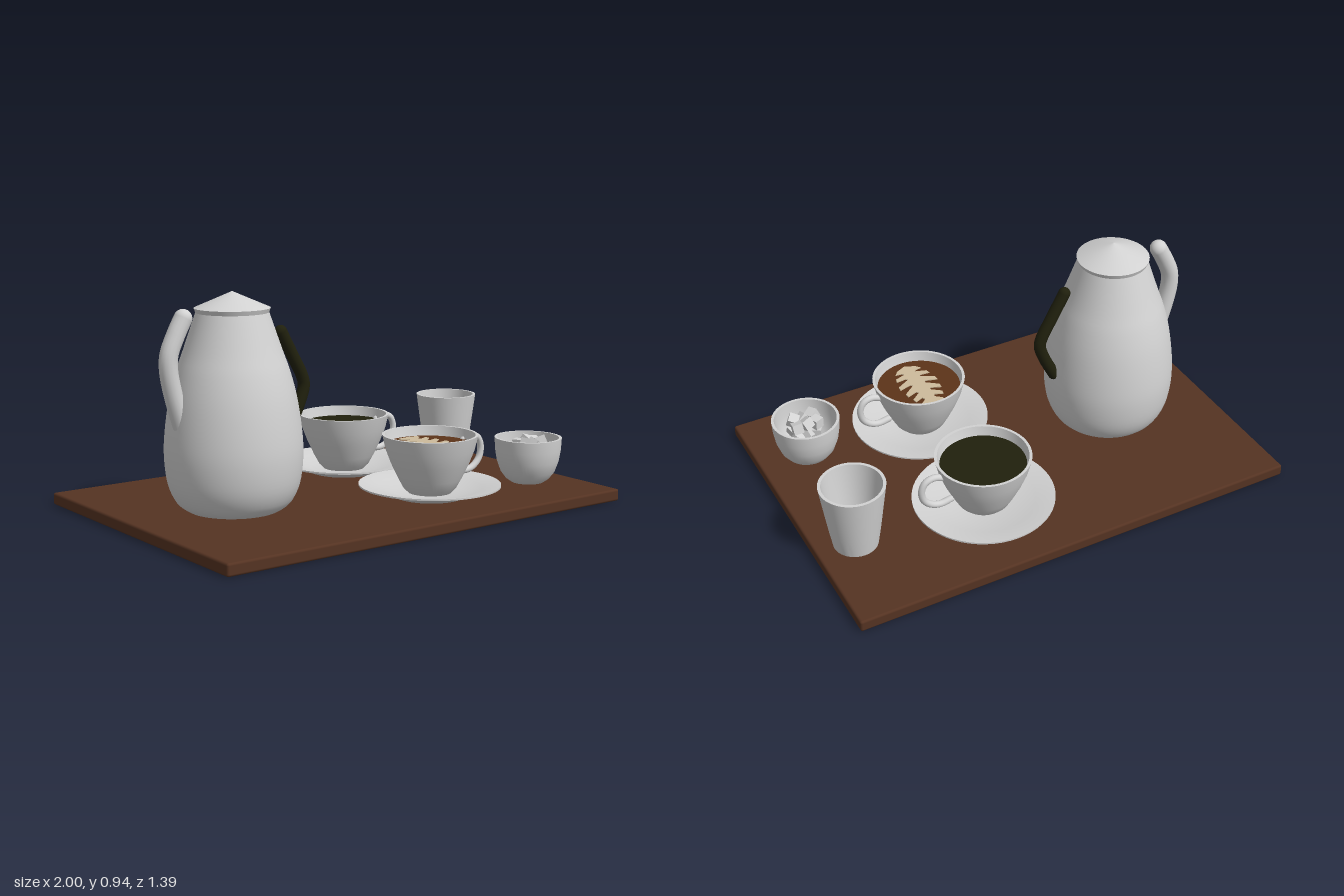
import * as THREE from 'three';
import { toCreasedNormals } from 'three/addons/utils/BufferGeometryUtils.js';
import { RoundedBoxGeometry } from 'three/addons/geometries/RoundedBoxGeometry.js';

const material = (name, color) => {
  const m = new THREE.MeshStandardMaterial({ color });
  m.name = name;
  return m;
};

export function createModel() {
  const model = new THREE.Group();
  model.name = 'coffeeTray';
  const porcelain = material('porcelain', 0xd2d2d2);
  const wood = material('wood', 0x553322);
  const dark = material('darkCoffee', 0x20200d);
  const latte = material('latte', 0x5c3319);
  const cream = material('cream', 0xcdbb9c);

  const add = (parent, name, geometry, mat, x = 0, y = 0, z = 0) => {
    const mesh = new THREE.Mesh(geometry, mat);
    mesh.name = name;
    mesh.position.set(x, y, z);
    parent.add(mesh);
    return mesh;
  };
  const group = (name, x, y, z) => {
    const g = new THREE.Group();
    g.name = name;
    g.position.set(x, y, z);
    model.add(g);
    return g;
  };
  // Turned part from [radius, height] pairs, listed from the underside up and back inside
  const turned = (points) => toCreasedNormals(
    new THREE.LatheGeometry(points.map(([r, y]) => new THREE.Vector2(r, y)), 56), 0.6);
  // Round bar through [x, y] points with ball ends
  const bar = (parent, name, points, radius, mat) => {
    const path = new THREE.CatmullRomCurve3(points.map(([x, y]) => new THREE.Vector3(x, y, 0)), false, 'centripetal');
    add(parent, name, new THREE.TubeGeometry(path, 32, radius, 16), mat);
    for (const [x, y] of [points[0], points[points.length - 1]])
      add(parent, name + 'End', new THREE.SphereGeometry(radius, 16, 12), mat, x, y);
  };

  // Tray
  add(model, 'tray', new RoundedBoxGeometry(2, 0.052, 1.39, 2, 0.01), wood, 0, 0.026, 0);

  // Coffee pot
  const pot = group('coffeePot', -0.525, 0, 0);
  const side = new THREE.SplineCurve([[0.19, 0.052], [0.235, 0.085], [0.27, 0.16], [0.284, 0.27],
    [0.279, 0.38], [0.26, 0.51], [0.232, 0.62], [0.2, 0.71], [0.148, 0.862]]
    .map(([r, y]) => new THREE.Vector2(r, y)));
  add(pot, 'potBody', turned([[0, 0.052], ...side.getPoints(32).map((p) => [p.x, p.y]), [0, 0.862]]), porcelain);
  add(pot, 'potLid', turned([[0, 0.858], [0.148, 0.858], [0.155, 0.878], [0, 0.945]]), porcelain);
  bar(pot, 'spout', [[-0.23, 0.85], [-0.265, 0.785], [-0.296, 0.71], [-0.299, 0.65], [-0.28, 0.55], [-0.235, 0.4]], 0.038, porcelain);
  bar(pot, 'potHandle', [[0.235, 0.765], [0.29, 0.665], [0.343, 0.565], [0.35, 0.53], [0.33, 0.465], [0.278, 0.36]], 0.026, dark);

  // Cups on saucers
  const cupOnSaucer = (name, z, drink) => {
    const g = group(name, 0.26, 0, z);
    add(g, 'saucer', turned([[0, 0.053], [0.15, 0.053], [0.22, 0.079], [0.302, 0.1], [0.302, 0.107],
      [0.22, 0.092], [0.15, 0.07], [0, 0.07]]), porcelain);
    add(g, 'cup', turned([[0, 0.068], [0.09, 0.068], [0.112, 0.09], [0.134, 0.13], [0.165, 0.195], [0.188, 0.255],
      [0.203, 0.318], [0.191, 0.318], [0.177, 0.255], [0.154, 0.195], [0.1, 0.1], [0, 0.09]]), porcelain);
    add(g, 'drink', new THREE.CircleGeometry(0.182, 48).rotateX(-Math.PI / 2), drink, 0, 0.276, 0);
    bar(g, 'cupHandle', [[0.185, 0.272], [0.23, 0.286], [0.266, 0.274], [0.284, 0.235], [0.275, 0.185],
      [0.24, 0.15], [0.2, 0.138], [0.15, 0.146]], 0.0145, porcelain);
    return g;
  };
  cupOnSaucer('blackCoffee', -0.305, dark);
  const latteCup = cupOnSaucer('latteCoffee', 0.305, latte);

  // Leaf pattern on the latte: half outline as [x, z], mirrored
  const half = [[0.018, -0.155], [0.05, -0.15], [0.052, -0.135], [0.022, -0.11], [0.03, -0.095], [0.066, -0.11],
    [0.07, -0.09], [0.026, -0.055], [0.036, -0.045], [0.08, -0.062], [0.082, -0.04], [0.028, 0.002],
    [0.038, 0.012], [0.09, -0.003], [0.088, 0.02], [0.028, 0.052], [0.038, 0.062], [0.08, 0.058],
    [0.074, 0.078], [0.024, 0.095], [0.036, 0.105], [0.062, 0.108], [0.046, 0.128], [0, 0.15]];
  const outline = [...half, ...half.slice(0, -1).reverse().map(([x, z]) => [-x, z])];
  const leaf = new THREE.Shape(outline.map(([x, z]) => new THREE.Vector2(x, -z)));
  add(latteCup, 'creamLeaf', new THREE.ExtrudeGeometry(leaf, { depth: 0.004, bevelEnabled: false })
    .rotateX(-Math.PI / 2), cream, 0, 0.276, 0);

  // Milk beaker
  add(model, 'beaker', turned([[0, 0.053], [0.094, 0.053], [0.108, 0.14], [0.138, 0.358], [0.125, 0.358],
    [0.096, 0.14], [0.083, 0.07], [0, 0.07]]), porcelain, 0.828, 0, -0.263);

  // Sugar bowl and cubes
  const bowl = group('sugarBowl', 0.782, 0, 0.35);
  add(bowl, 'bowl', turned([[0, 0.053], [0.07, 0.053], [0.095, 0.07], [0.118, 0.1], [0.136, 0.15], [0.144, 0.2],
    [0.147, 0.252], [0.135, 0.252], [0.131, 0.2], [0.123, 0.155], [0.106, 0.115], [0.08, 0.085], [0, 0.075]]), porcelain);
  for (let layer = 0; layer < 3; layer++) {
    for (let i = 0; i < 6; i++) {
      const cube = add(bowl, 'sugarCube', new THREE.BoxGeometry(0.044, 0.044, 0.044), porcelain,
        (i % 3 - 1) * 0.044, 0.12 + layer * 0.052 + (i % 2) * 0.008, 0.012 + (i < 3 ? -0.024 : 0.024));
      cube.rotation.set(i * 0.5, i * 1.3 + layer, i * 0.35);
    }
  }
  return model;
}
